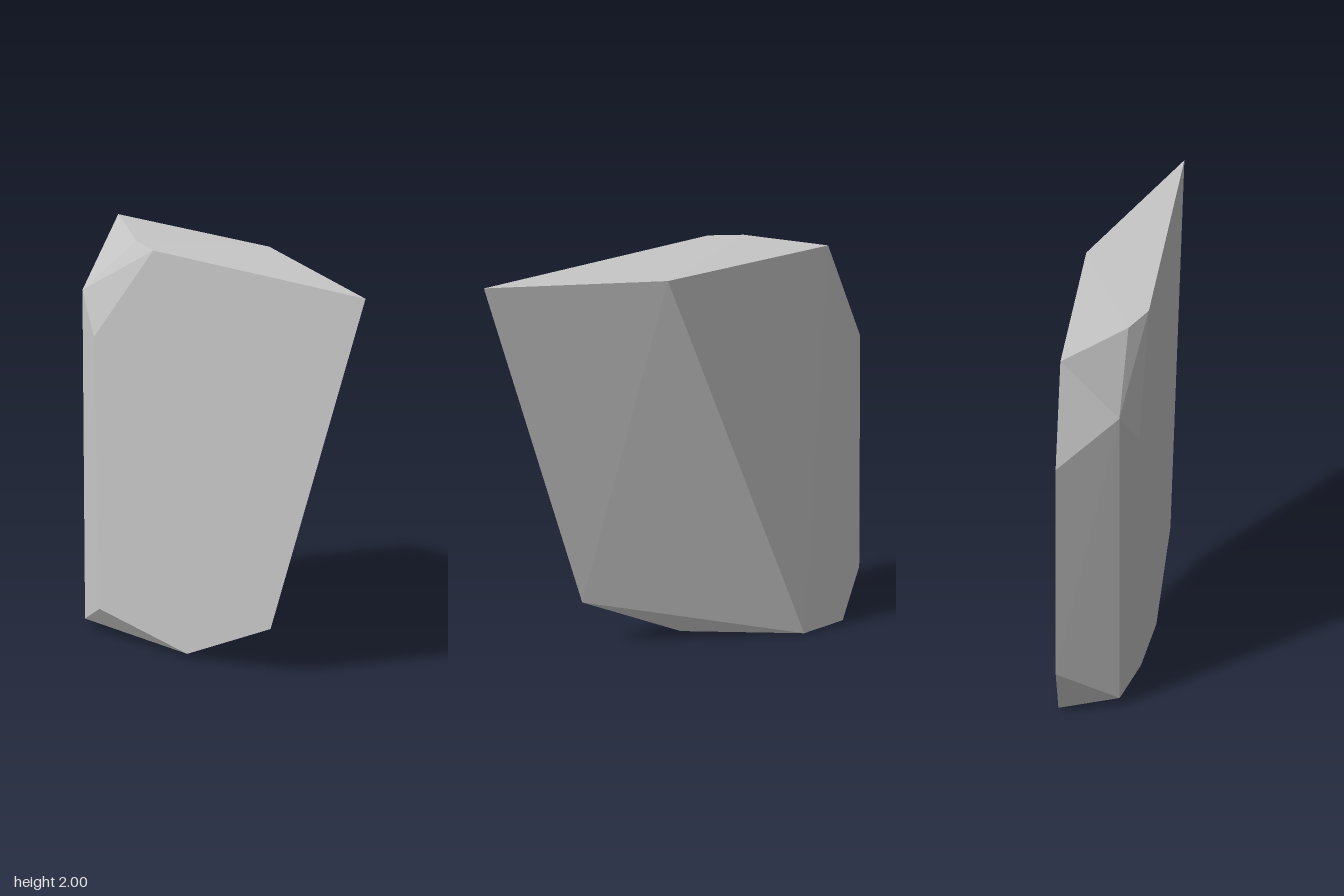
import * as THREE from 'three';
import { ConvexGeometry } from 'three/addons/geometries/ConvexGeometry.js';

// A faceted stone slab: the convex hull of three layers of corners.
export function createModel() {
  const group = new THREE.Group();
  group.name = 'rock';

  const stone = new THREE.MeshStandardMaterial({ color: 0xc7c7c7, flatShading: true });
  stone.name = 'light grey stone';

  const corners = [
    // front face
    [-0.64, 1.5, 0.178], [-0.3, 2, 0.176], [0.92, 2, 0.172],
    [0.38, 0.24, 0.182], [-0.1, 0.02, 0.183], [-0.605, 0.145, 0.182],
    // bevel behind the front face
    [-0.76, 1.69, 0.1], [-0.45, 2, 0.1], [-0.745, 0.045, 0.1], [-0.08, 0.04, 0.05],
    // back face
    [-0.75, 1.99, -0.183], [0.12, 2, -0.183], [-0.925, 1.48, -0.181],
    [-0.92, 0.28, -0.181], [-0.83, 0.02, -0.181], [-0.62, 0, -0.183],
  ].map((p) => new THREE.Vector3(...p));

  const slab = new THREE.Mesh(new ConvexGeometry(corners), stone);
  slab.name = 'stoneSlab';
  group.add(slab);
  return group;
}
